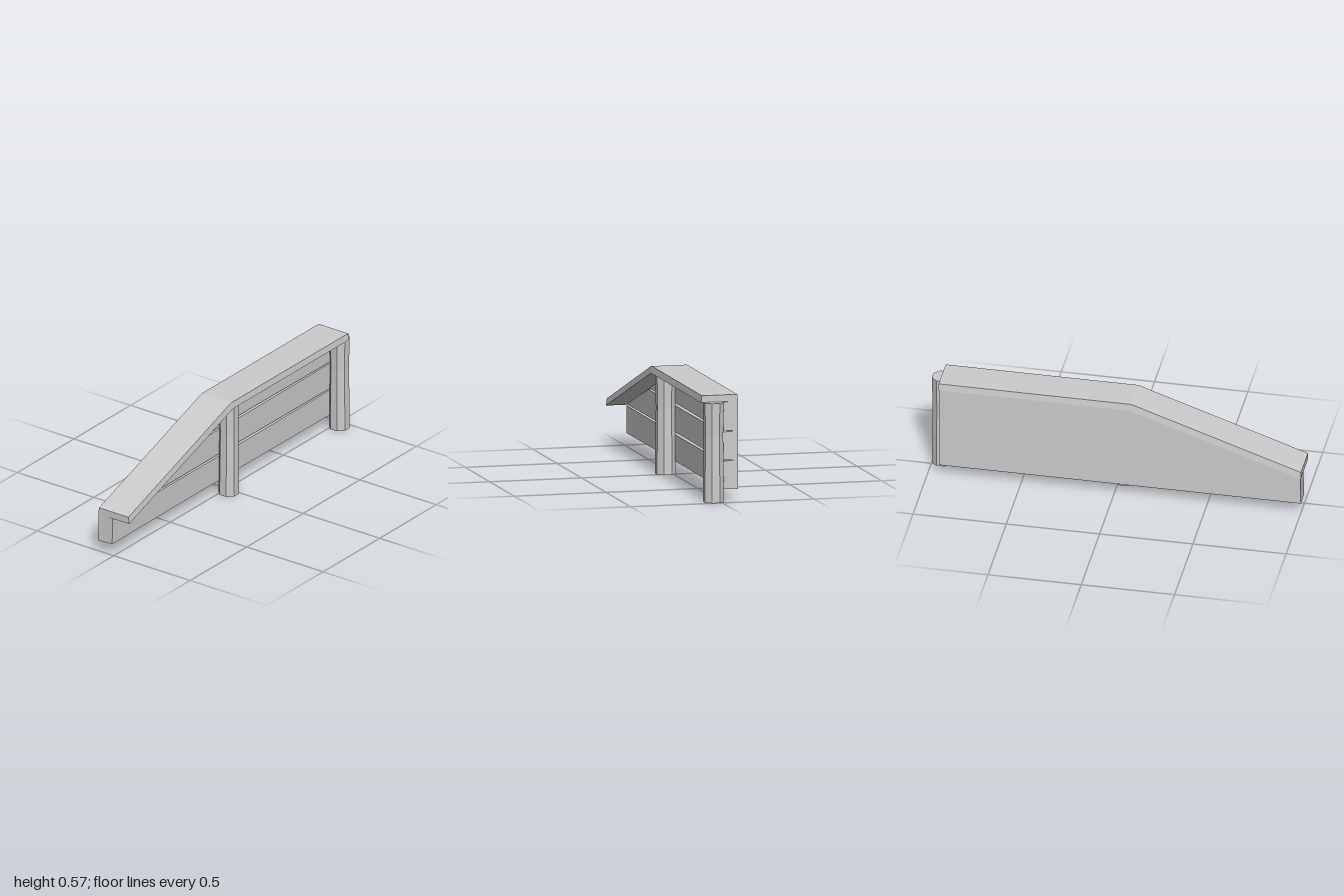
import * as THREE from 'three';

const material = new THREE.MeshStandardMaterial({ color: 0xcccccc, flatShading: true });

// Extrudes an outline in x/y from z0 to z1, then moves each vertex by a rule
function prism(name, points, z0, z1, rule) {
  const shape = new THREE.Shape(points.map(([x, y]) => new THREE.Vector2(x, y)));
  const geo = new THREE.ExtrudeGeometry(shape, { depth: z1 - z0, bevelEnabled: false });
  geo.translate(0, 0, z0);
  const pos = geo.attributes.position;
  const v = new THREE.Vector3();
  for (let i = 0; i < pos.count; i++) {
    v.fromBufferAttribute(pos, i);
    rule(v);
    pos.setXYZ(i, v.x, v.y, v.z);
  }
  geo.computeVertexNormals();
  const mesh = new THREE.Mesh(geo, material);
  mesh.name = name;
  return mesh;
}

// Board cut off by the sloping rail; its front edges draw in to leave V grooves
function board(name, bottom, top) {
  const slopeX = (y) => Math.max(-1, -1 + (y - 0.215) / 0.342);
  const right = 0.94, mid = 0.2;
  const outline = [
    [slopeX(bottom), bottom], [mid, bottom], [right, bottom],
    [right, top], [mid, top], [slopeX(top), top],
  ];
  return prism(name, outline, -0.1, -0.01, (v) => {
    if (v.z < -0.05) return;
    const inset = Math.abs(v.x - mid) < 0.01 ? 0.007 : 0.004;
    v.y += v.y < (bottom + top) / 2 ? inset : -inset;
  });
}

// Eight-sided post, slightly uneven along its height
function post(name, x) {
  const geo = new THREE.CylinderGeometry(0.056, 0.056, 0.53, 8, 3);
  geo.rotateY(Math.PI / 8);
  geo.translate(0, 0.265, 0);
  const pos = geo.attributes.position;
  for (let i = 0; i < pos.count; i++) {
    const y = pos.getY(i);
    const waist = y > 0.25 && y < 0.45 ? 0.92 : y > 0.1 && y < 0.25 ? 0.97 : 1;
    pos.setX(i, pos.getX(i) * waist);
    pos.setZ(i, pos.getZ(i) * waist);
  }
  const mesh = new THREE.Mesh(geo, material);
  mesh.name = name;
  mesh.position.set(x, 0, 0.035);
  return mesh;
}

export function createModel() {
  const group = new THREE.Group();
  group.name = 'fence';

  // Three stacked boards
  group.add(board('lowerBoard', 0.061, 0.216));
  group.add(board('middleBoard', 0.216, 0.371));
  group.add(board('upperBoard', 0.371, 0.53));

  // Top rail with a sloping end; the upper edges lean inwards
  const rail = [
    [-1, 0.215], [-0.08, 0.529], [0.942, 0.529],
    [0.942, 0.566], [-0.083, 0.566], [-0.1, 0.563], [-1, 0.253],
  ];
  group.add(prism('topRail', rail, -0.101, 0.101, (v) => {
    const underside = Math.min(0.529, 0.215 + (v.x + 1) * 0.342);
    if (v.y > underside + 0.02) v.z *= 0.95;
  }));

  // Posts in front of the boards
  group.add(post('middlePost', -0.03));
  group.add(post('endPost', 0.948));
  return group;
}
